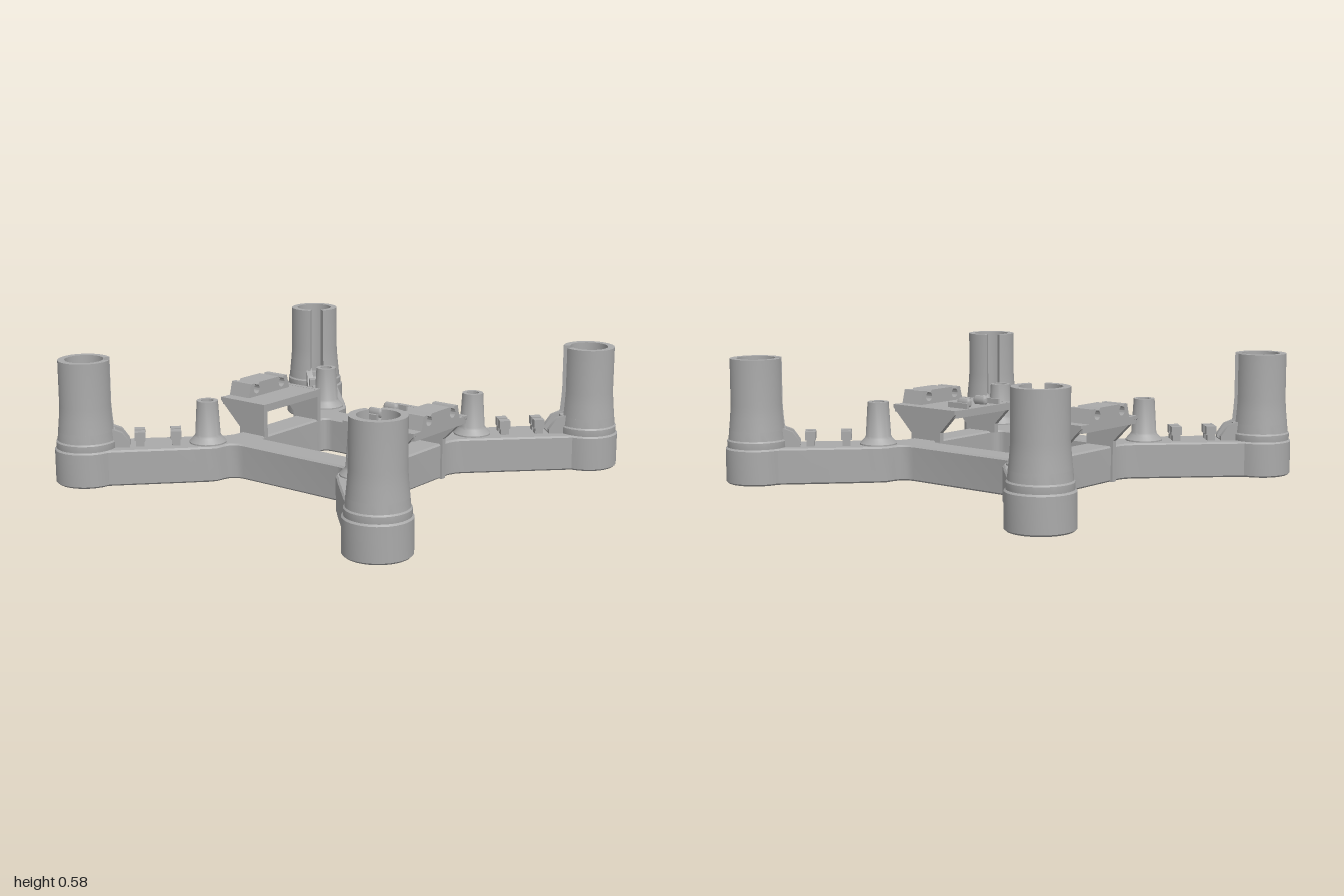
import * as THREE from 'three';
import { toCreasedNormals } from 'three/addons/utils/BufferGeometryUtils.js';

const grey = new THREE.MeshStandardMaterial({ color: 0xaaaaaa });
grey.name = 'plain grey';

const V = ([x, y]) => new THREE.Vector2(x, y);
const shapeOf = (pts) => new THREE.Shape(pts.map(V));

function add(parent, name, geometry, x = 0, y = 0, z = 0) {
  const mesh = new THREE.Mesh(toCreasedNormals(geometry, 0.6), grey);
  mesh.name = name;
  mesh.position.set(x, y, z);
  parent.add(mesh);
  return mesh;
}

// Box given by its lower centre
function box(parent, name, w, h, d, x, y, z) {
  return add(parent, name, new THREE.BoxGeometry(w, h, d), x, y + h / 2, z);
}

// Plate from a (z, y) profile, centred on x
function sidePlate(parent, name, pts, thickness, x) {
  const g = new THREE.ExtrudeGeometry(shapeOf(pts), { depth: thickness, bevelEnabled: false });
  g.translate(0, 0, -thickness / 2);
  g.rotateY(-Math.PI / 2);
  return add(parent, name, g, x);
}

function circlePath(x, y, r) {
  return new THREE.Path().absarc(x, y, r, 0, Math.PI * 2, true);
}

// Flat X-shaped frame with centre window, motor recesses and screw holes
function frame(parent) {
  const quarter = [[0.39, 0.28], [0.395, 0.315], [0.415, 0.34], [0.45, 0.35], [0.49, 0.355],
    [0.525, 0.378], [0.55, 0.405], [0.58, 0.43]];
  for (let i = 0; i <= 24; i++) {
    const a = THREE.MathUtils.degToRad(-86 + (262 * i) / 24);
    quarter.push([0.85 + 0.15 * Math.cos(a), 0.85 + 0.15 * Math.sin(a)]);
  }
  quarter.push([0.38, 0.535], [0.33, 0.483], [0.3, 0.46], [0.265, 0.447], [0.23, 0.444]);
  const mirror = (sx, sy) => quarter.map(([x, y]) => [x * sx, y * sy]);
  const outline = shapeOf([...quarter, ...mirror(-1, 1).reverse(), ...mirror(-1, -1), ...mirror(1, -1).reverse()]);

  const w = 0.25, h = 0.3, r = 0.05;
  const win = new THREE.Path();
  win.moveTo(-w + r, -h);
  win.lineTo(w - r, -h).quadraticCurveTo(w, -h, w, -h + r);
  win.lineTo(w, h - r).quadraticCurveTo(w, h, w - r, h);
  win.lineTo(-w + r, h).quadraticCurveTo(-w, h, -w, h - r);
  win.lineTo(-w, -h + r).quadraticCurveTo(-w, -h, -w + r, -h);
  outline.holes.push(win);
  for (const sx of [-1, 1]) for (const sz of [-1, 1]) {
    outline.holes.push(circlePath(sx * 0.85, sz * 0.85, 0.06), circlePath(sx * 0.45, sz * 0.45, 0.026));
  }
  const g = new THREE.ExtrudeGeometry(outline, {
    depth: 0.154, bevelEnabled: true, bevelThickness: 0.008, bevelSize: 0.008,
    bevelOffset: -0.008, bevelSegments: 1, curveSegments: 12,
  });
  g.translate(0, 0, 0.008);
  g.rotateX(-Math.PI / 2);
  add(parent, 'frame', g);
}

// Fittings of one arm; local +z runs from the tower towards the centre
function armFittings(parent, sx, sz) {
  const arm = new THREE.Group();
  arm.name = 'armFittings';
  arm.position.set(sx * 0.85, 0, sz * 0.85);
  arm.rotation.y = Math.atan2(-sx, -sz);
  parent.add(arm);

  // Tower foot with floor
  add(arm, 'towerFoot', new THREE.LatheGeometry([[0, 0.15], [0.138, 0.15], [0.142, 0.17], [0.142, 0.2],
    [0.136, 0.207], [0.132, 0.25], [0.09, 0.25], [0.09, 0.2], [0, 0.2]].map(V), 48));

  // Tower wall with a slot facing the centre
  const wall = [[0.132, 0.25], [0.126, 0.31], [0.122, 0.37], [0.122, 0.585], [0.09, 0.585], [0.09, 0.25]];
  const gap = 0.28;
  add(arm, 'towerWall', new THREE.LatheGeometry([...wall, wall[0]].map(V), 44, gap, 2 * Math.PI - 2 * gap));
  const startCap = new THREE.ShapeGeometry(shapeOf(wall));
  startCap.rotateY(gap - Math.PI / 2);
  add(arm, 'slotSide', startCap);
  const endCap = new THREE.ShapeGeometry(shapeOf(wall.map(([x, y]) => [-x, y])));
  endCap.rotateY(-gap + Math.PI / 2);
  add(arm, 'slotSide', endCap);

  // Sloped cable guide below the slot
  const cheek = [[0.1, 0.16], [0.2, 0.16], [0.2, 0.19], [0.165, 0.24], [0.1, 0.265]];
  for (const s of [-1, 1]) sidePlate(arm, 'cableGuideCheek', cheek, 0.03, s * 0.042);
  sidePlate(arm, 'cableGuideRamp', [[0.1, 0.16], [0.2, 0.16], [0.2, 0.175], [0.1, 0.25]], 0.056, 0);

  // Pairs of wire clips
  for (const z of [0.247, 0.415]) for (const s of [-1, 1]) {
    box(arm, 'wireClip', 0.04, 0.035, 0.038, s * 0.031, 0.165, z);
    box(arm, 'wireClipHead', 0.044, 0.04, 0.05, s * 0.031, 0.198, z);
  }

  // Hollow screw post
  add(arm, 'screwPost', new THREE.LatheGeometry([[0.088, 0.165], [0.088, 0.176], [0.066, 0.2],
    [0.06, 0.21], [0.05, 0.372], [0.03, 0.372], [0.03, 0.165]].map(V), 32), 0, 0, 0.566);
}

// Raised bridge with a notched holder on its outer edge
function bridge(parent, name, inner) {
  const group = new THREE.Group();
  group.name = name;
  parent.add(group);

  const legs = [[0.3, 0], [0.455, 0], [0.455, 0.195], [0.575, 0.31], [0.575, 0.325]];
  if (inner < 0.3) legs.push([inner, 0.325], [inner, 0.305], [0.27, 0.21], [0.27, 0.165], [0.3, 0.165]);
  else legs.push([0.3, 0.325]);
  for (const s of [-1, 1]) sidePlate(group, 'bridgeSide', legs, 0.026, s * 0.203);
  box(group, 'bridgeTop', 0.41, 0.036, 0.574 - inner, 0, 0.288, (0.574 + inner) / 2);

  // Holder profile with two round wire notches
  const holder = new THREE.Shape();
  holder.moveTo(-0.155, 0.315);
  holder.lineTo(0.155, 0.315);
  holder.lineTo(0.135, 0.39);
  holder.lineTo(0.11, 0.39);
  holder.absarc(0.094, 0.36, 0.022, 1.1, 2.04, true);
  holder.lineTo(0.072, 0.392);
  holder.lineTo(-0.072, 0.392);
  holder.absarc(-0.094, 0.36, 0.022, 1.1, 2.04, true);
  holder.lineTo(-0.11, 0.39);
  holder.lineTo(-0.135, 0.39);
  holder.closePath();
  const g = new THREE.ExtrudeGeometry(holder, { depth: 0.124, bevelEnabled: false, curveSegments: 16 });
  add(group, 'wireHolder', g, 0, 0, 0.45);
  return group;
}

export function createModel() {
  const model = new THREE.Group();
  model.name = 'quadFrame';
  frame(model);
  for (const sx of [-1, 1]) for (const sz of [-1, 1]) armFittings(model, sx, sz);

  const front = bridge(model, 'frontBridge', 0.175);
  // Ridges on the inner half of the front bridge
  for (const s of [-1, 1]) {
    box(front, 'outerRidge', 0.014, 0.03, 0.12, s * 0.115, 0.32, 0.24);
    const oval = new THREE.CapsuleGeometry(0.016, 0.05, 4, 12);
    oval.rotateX(Math.PI / 2);
    oval.scale(1, 1.5, 1);
    add(front, 'ovalPeg', oval, s * 0.06, 0.343, 0.25);
  }
  const back = bridge(model, 'backBridge', 0.3);
  back.rotation.y = Math.PI;
  return model;
}
